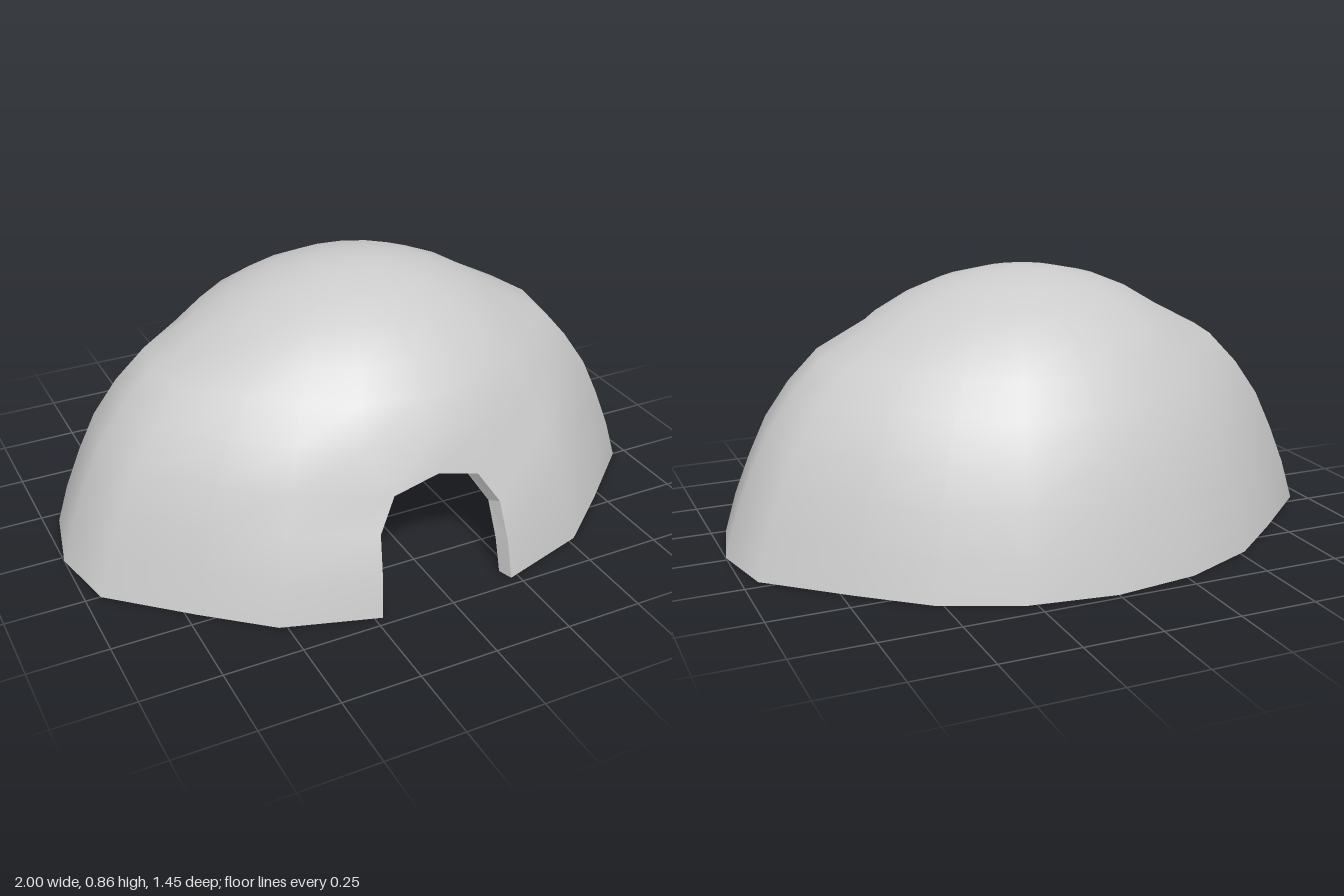
import * as THREE from 'three';

const COLS = 20, ROWS = 10, THICK = 0.05;
// ring radius at each height step, from the base to the last ring below the crown
const RING = [1, 0.96, 0.908, 0.85, 0.77, 0.672, 0.57, 0.438, 0.3, 0.147];
// door frame points on the right-hand jamb, by ring
const JAMB = [[0.225, 0, 0.72], [0.217, 0.13, 0.7], [0.205, 0.255, 0.66], [0.143, 0.352, 0.625]];

const id = (i, j) => (i === ROWS ? ROWS * COLS : i * COLS + ((j + COLS) % COLS));

function shellPoint(i, j) {
  if (i === 3 && j === 0) return [0, 0.395, 0.632];
  if (i < 4 && j === 1) return JAMB[i];
  if (i < 4 && j === COLS - 1) return [-JAMB[i][0], JAMB[i][1], JAMB[i][2]];
  const a = (j / COLS) * Math.PI * 2;
  // the two ends of the oval are pulled outwards on the lower rings
  const end = i <= 5 && Math.abs(Math.sin(a)) > 0.9;
  return [
    Math.sin(a) * RING[i] * (end ? 1 : 0.89),
    0.86 * Math.sin((i / ROWS) * Math.PI / 2),
    0.02 + Math.cos(a) * RING[i] * 0.75,
  ];
}

function makeGeometry(points, index) {
  const g = new THREE.BufferGeometry();
  g.setAttribute('position', new THREE.Float32BufferAttribute(points.flat(), 3));
  g.setIndex(index);
  g.computeVertexNormals();
  return g;
}

export function createModel() {
  const group = new THREE.Group();
  group.name = 'domeShelter';
  const smooth = new THREE.MeshStandardMaterial({ color: 0xcccccc });
  const flat = new THREE.MeshStandardMaterial({ color: 0xcccccc, flatShading: true });
  const add = (name, geometry, material) => {
    const mesh = new THREE.Mesh(geometry, material);
    mesh.name = name;
    group.add(mesh);
  };

  // outer skin: rings of an oval dome, leaving the doorway open
  const outer = [], faces = [];
  for (let i = 0; i < ROWS; i++) for (let j = 0; j < COLS; j++) outer.push(shellPoint(i, j));
  outer.push([0, 0.86, 0.02]);
  for (let i = 0; i < ROWS; i++) {
    for (let j = 0; j < COLS; j++) {
      if (i < 3 && (j === 0 || j === COLS - 1)) continue;
      const a = id(i, j), b = id(i, j + 1), c = id(i + 1, j + 1), d = id(i + 1, j);
      faces.push(a, b, c);
      if (i < ROWS - 1) faces.push(a, c, d);
    }
  }
  const outerGeometry = makeGeometry(outer, faces);
  add('outerShell', outerGeometry, smooth);

  // inner skin: the outer one moved in along its normals
  const n = outerGeometry.attributes.normal;
  const inner = outer.map(([x, y, z], k) => [
    x - n.getX(k) * THICK,
    y === 0 ? 0 : y - n.getY(k) * THICK,
    z - n.getZ(k) * THICK,
  ]);
  add('innerShell', makeGeometry(inner, [...faces].reverse()), smooth);

  // rim joining both skins along the ground and round the doorway
  const loop = [];
  for (let j = 1; j < COLS; j++) loop.push(id(0, j));
  for (let i = 1; i <= 3; i++) loop.push(id(i, COLS - 1));
  loop.push(id(3, 0));
  for (let i = 3; i >= 1; i--) loop.push(id(i, 1));
  const rim = [], o = outer.length;
  loop.forEach((a, k) => {
    const b = loop[(k + 1) % loop.length];
    rim.push(b, a, a + o, b, a + o, b + o);
  });
  add('groundAndDoorRim', makeGeometry([...outer, ...inner], rim), flat);

  return group;
}
